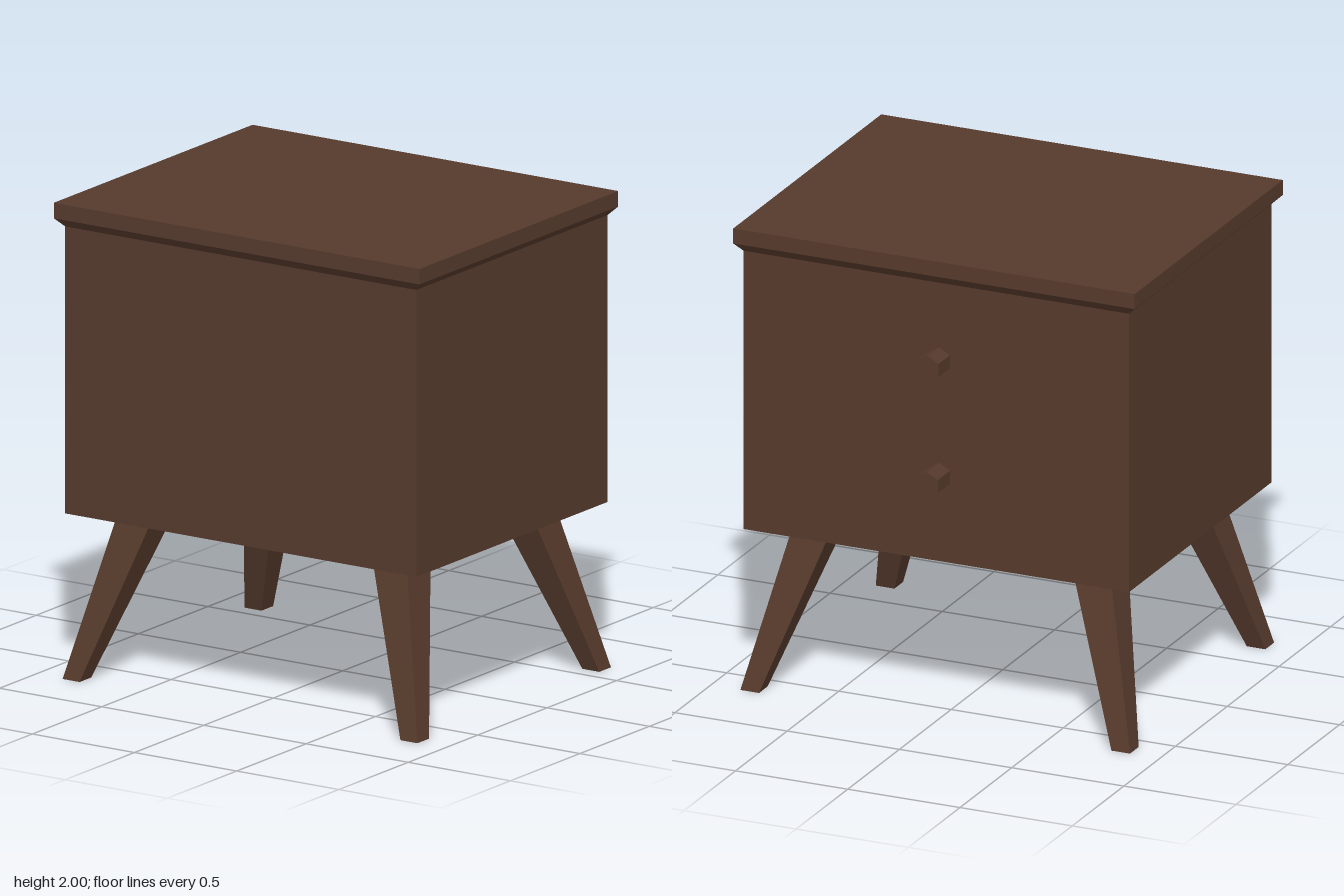
import * as THREE from 'three';

// Four-sided block between two rectangles [xMin, xMax, zMin, zMax] at heights y0 and y1
function block(y0, bottom, y1, top) {
  const g = new THREE.BoxGeometry(1, 1, 1);
  const p = g.attributes.position;
  for (let i = 0; i < p.count; i++) {
    const upper = p.getY(i) > 0;
    const r = upper ? top : bottom;
    p.setXYZ(i, p.getX(i) < 0 ? r[0] : r[1], upper ? y1 : y0, p.getZ(i) < 0 ? r[2] : r[3]);
  }
  g.computeVertexNormals();
  return g;
}

export function createModel() {
  const model = new THREE.Group();
  model.name = 'nightstand';
  const wood = new THREE.MeshStandardMaterial({ color: 0x563a2c, flatShading: true });
  wood.name = 'dark wood';

  const add = (name, geometry) => {
    const mesh = new THREE.Mesh(geometry, wood);
    mesh.name = name;
    model.add(mesh);
    return mesh;
  };

  // Cabinet and overhanging top with a bevelled underside
  const body = [-0.86, 0.858, -0.645, 0.733];
  const slab = [-0.897, 0.892, -0.671, 0.761];
  add('cabinet', block(0.695, body, 1.9, body));
  add('topBevel', block(1.9, body, 1.935, slab));
  add('topSlab', block(1.935, slab, 2, slab));

  // Splayed, tapered legs, mirrored around the cabinet's centre
  const zMid = 0.043;
  for (const sx of [1, -1]) {
    for (const sz of [1, -1]) {
      const rect = (x0, x1, z0, z1) => {
        const xs = [sx * x0, sx * x1].sort((a, b) => a - b);
        const zs = [zMid + sz * z0, zMid + sz * z1].sort((a, b) => a - b);
        return [...xs, ...zs];
      };
      const name = (sz > 0 ? 'front' : 'back') + (sx > 0 ? 'Left' : 'Right') + 'Leg';
      add(name, block(0, rect(0.785, 0.868, 0.613, 0.697), 0.695, rect(0.535, 0.705, 0.362, 0.533)));
    }
  }

  // Six-sided knobs on the drawer side
  for (const [name, y, zEnd] of [['upperKnob', 1.565, -0.755], ['lowerKnob', 1.065, -0.762]]) {
    const zStart = -0.64;
    const g = new THREE.CylinderGeometry(0.056, 0.056, zStart - zEnd, 6);
    g.rotateX(Math.PI / 2);
    add(name, g).position.set(-0.013, y, (zStart + zEnd) / 2);
  }

  return model;
}
